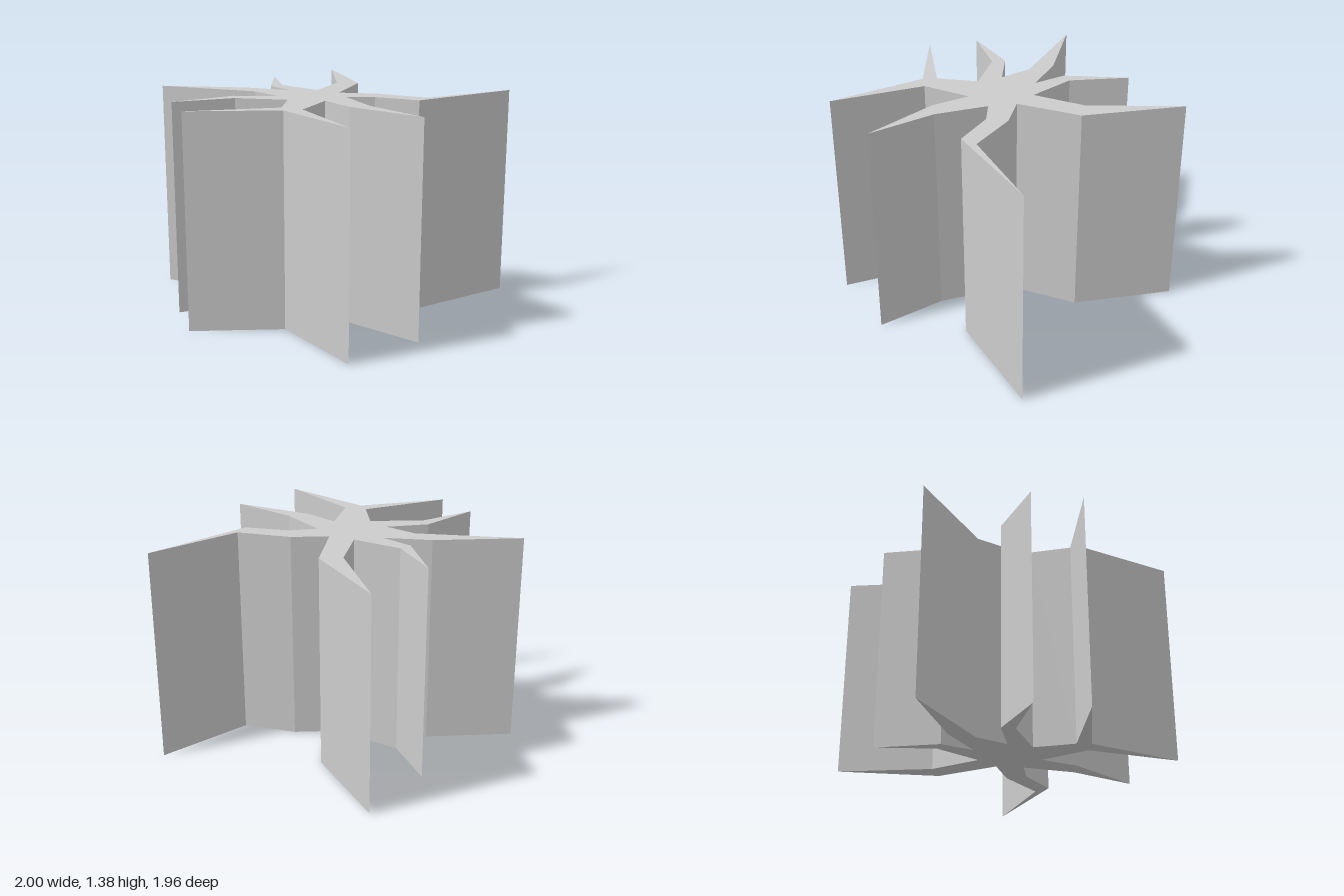
import * as THREE from 'three';

const HEIGHT = 1.38;

// Bent, pointed arms in plan as [x, z]: inner notch, outer knee, tip, other knee
const ARMS = [
  [[-0.24, -0.15], [-0.22, -0.37], [-0.51, -0.985], [-0.16, -0.53]],
  [[-0.03, -0.25], [0.005, -0.47], [0.305, -0.765], [0.085, -0.445]],
  [[0.1, -0.12], [0.42, -0.255], [0.835, -0.715], [0.51, -0.14]],
  [[0.13, 0.045], [0.275, 0.24], [0.385, 0.575], [1, 0.76], [0.275, 0.6], [0.17, 0.325]],
  [[0.04, 0.2], [-0.085, 0.52], [-0.13, 0.975], [-0.195, 0.45]],
  // forked arm with two tips
  [[-0.15, 0.2], [-0.455, 0.315], [-0.655, 0.895], [-0.555, 0.255], [-1, -0.14], [-0.5, 0.18]],
  [[-0.29, 0.01], [-0.48, -0.27], [-0.85, -0.435], [-0.435, -0.345]],
];

export function createModel() {
  const group = new THREE.Group();
  group.name = 'starPrism';

  // Plan outline, drawn with y = -z so it lies flat after the turn
  const outline = new THREE.Shape(ARMS.flat().map(([x, z]) => new THREE.Vector2(x, -z)));
  const geometry = new THREE.ExtrudeGeometry(outline, { depth: HEIGHT, bevelEnabled: false });
  geometry.rotateX(-Math.PI / 2);

  const material = new THREE.MeshStandardMaterial({ color: 0xcccccc, flatShading: true });
  const body = new THREE.Mesh(geometry, material);
  body.name = 'armedBody';
  group.add(body);
  return group;
}
